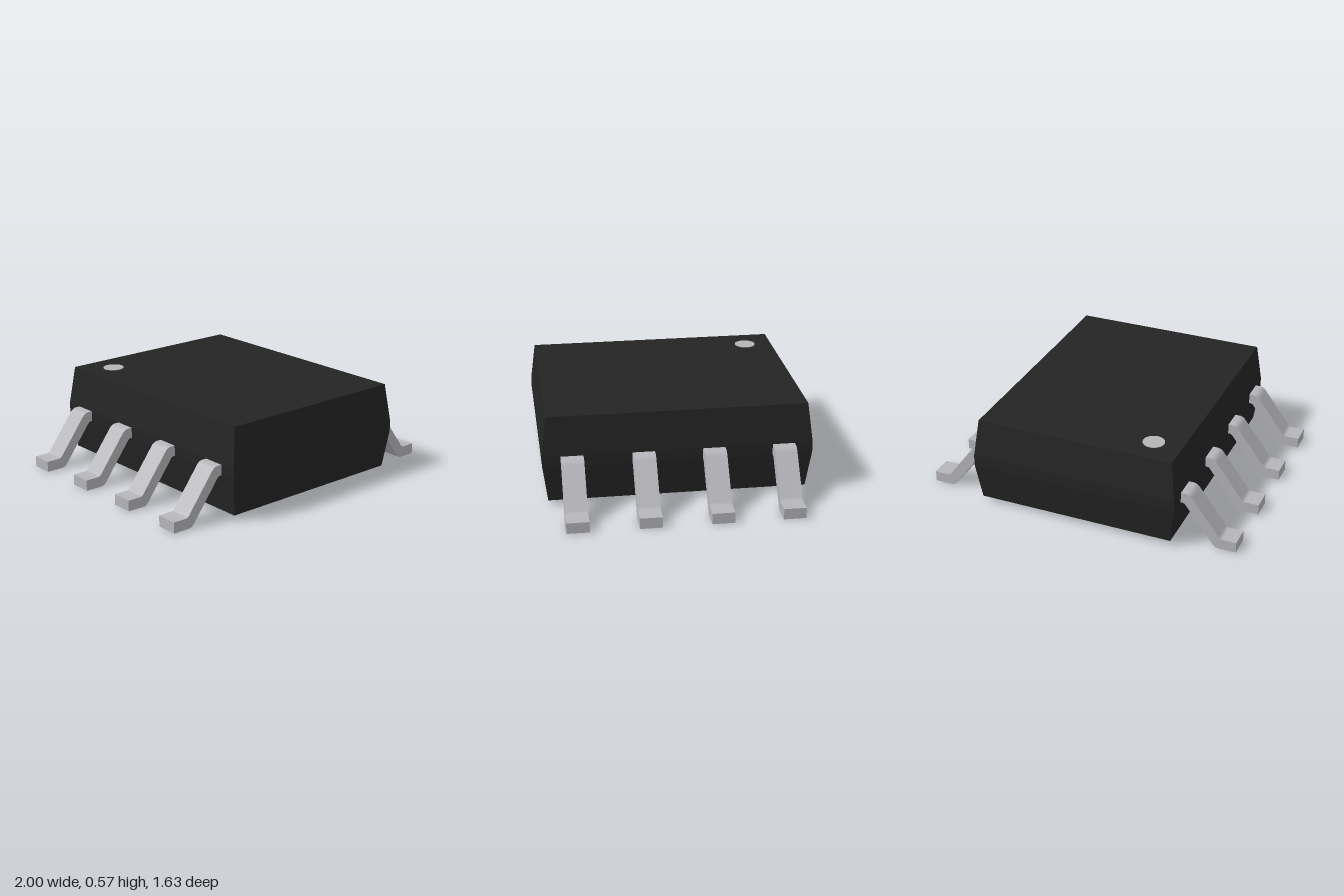
import * as THREE from 'three';
import { toCreasedNormals } from 'three/addons/utils/BufferGeometryUtils.js';

const material = (name, color) => {
  const m = new THREE.MeshStandardMaterial({ color });
  m.name = name;
  return m;
};

export function createModel() {
  const black = material('black plastic', 0x242424);
  const metal = material('lead metal', 0xb5b5ba);
  const grey = material('marker grey', 0xb4b4b4);

  const model = new THREE.Group();
  model.name = 'chipPackage';
  const add = (name, geometry, mat, parent = model) => {
    const mesh = new THREE.Mesh(geometry, mat);
    mesh.name = name;
    parent.add(mesh);
    return mesh;
  };

  // Moulded body: box with four levels, widest in a narrow band at mid height
  const levels = [0.03, 0.265, 0.33, 0.57];
  const inset = [0.03, 0, 0, 0.03];
  const box = new THREE.BoxGeometry(2, 3, 2, 1, 3, 1);
  const p = box.attributes.position;
  for (let i = 0; i < p.count; i++) {
    const level = Math.round(p.getY(i) + 1.5);
    p.setXYZ(i, p.getX(i) * (0.65 - inset[level]), levels[level], p.getZ(i) * (0.815 - inset[level]));
  }
  const bodyGeometry = box.toNonIndexed();
  bodyGeometry.computeVertexNormals();
  add('body', bodyGeometry, black);

  // Pin one marker on the top face
  add('pinOneMarker', new THREE.CylinderGeometry(0.066, 0.066, 0.004, 40), grey)
    .position.set(-0.44, 0.571, -0.61);

  // Exposed pad on the underside
  add('thermalPad', new THREE.BoxGeometry(0.67, 0.03, 0.96), metal).position.y = 0.015;

  // Gull-wing lead: side profile with rounded bends, extruded across its width
  const width = 0.135;
  const profile = new THREE.Shape();
  profile.moveTo(0.62, 0.262);
  profile.lineTo(0.66, 0.262);
  profile.quadraticCurveTo(0.671, 0.262, 0.678, 0.253);
  profile.lineTo(0.853, 0.022);
  profile.quadraticCurveTo(0.87, 0, 0.892, 0);
  profile.lineTo(1, 0);
  profile.lineTo(1, 0.067);
  profile.lineTo(0.915, 0.067);
  profile.quadraticCurveTo(0.9, 0.067, 0.89, 0.08);
  profile.lineTo(0.722, 0.302);
  profile.quadraticCurveTo(0.703, 0.327, 0.68, 0.327);
  profile.lineTo(0.62, 0.327);
  profile.closePath();
  const leadGeometry = toCreasedNormals(
    new THREE.ExtrudeGeometry(profile, { depth: width, bevelEnabled: false, curveSegments: 8 })
      .translate(0, 0, -width / 2),
    0.5
  );

  // Four leads per side, the right row turned half a circle
  for (const side of ['left', 'right']) {
    const row = new THREE.Group();
    row.name = side + 'Leads';
    row.rotation.y = side === 'left' ? 0 : Math.PI;
    for (let i = 0; i < 4; i++) {
      add(side + 'Lead' + (i + 1), leadGeometry, metal, row).position.z = (i - 1.5) * 0.425;
    }
    model.add(row);
  }

  return model;
}
